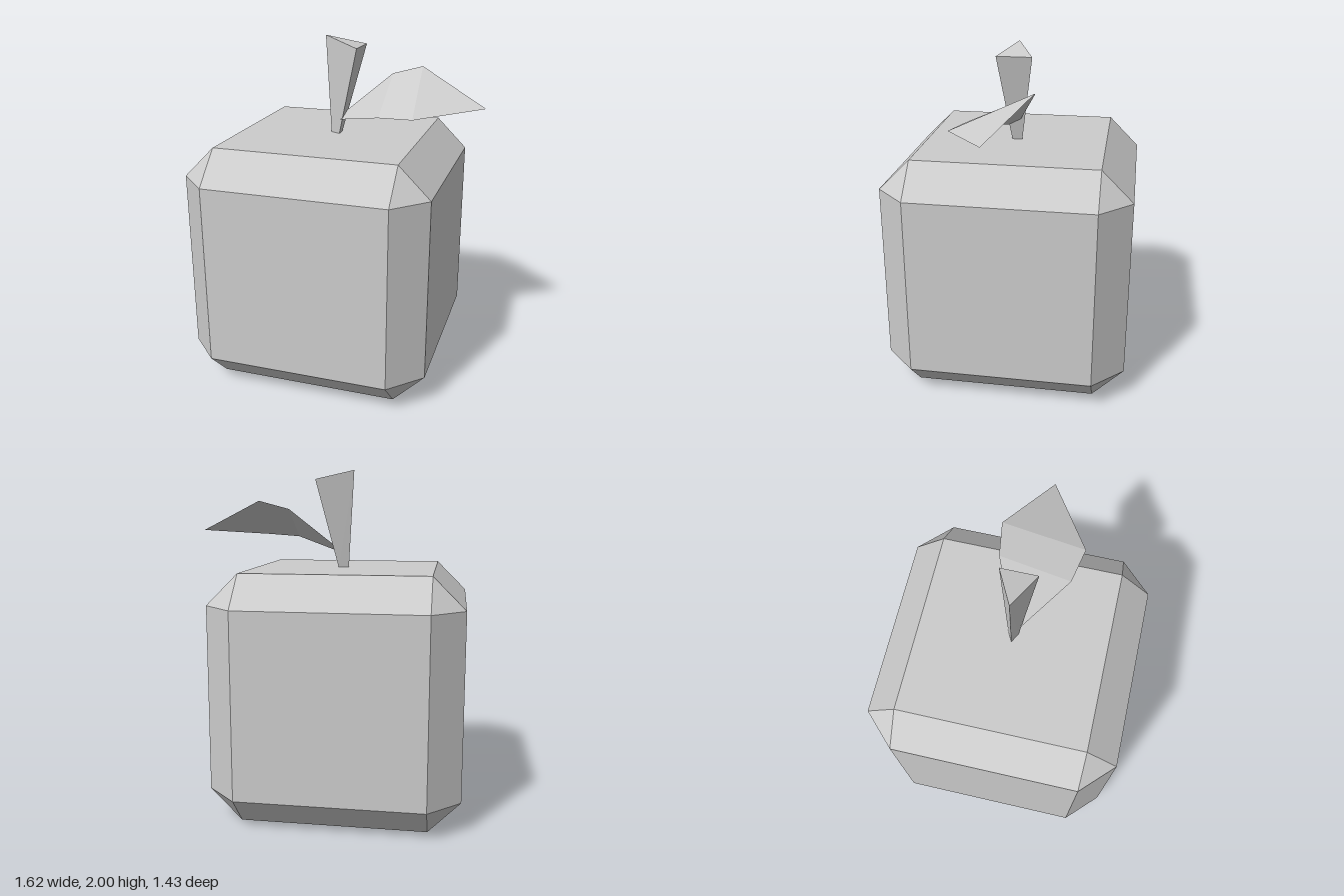
import * as THREE from 'three';
import { ConvexGeometry } from 'three/addons/geometries/ConvexGeometry.js';

const grey = new THREE.MeshStandardMaterial({ color: 0xcccccc, flatShading: true });
grey.name = 'plain grey';
const greyThin = grey.clone();
greyThin.name = 'plain grey leaf';
greyThin.side = THREE.DoubleSide;

const v = (x, y, z) => new THREE.Vector3(x, y, z);

// Cube with every edge and corner cut off
function chamferedCube(half, inner) {
  const points = [];
  for (const x of [-1, 1]) for (const y of [-1, 1]) for (const z of [-1, 1]) {
    points.push(v(x * half, y * inner, z * inner));
    points.push(v(x * inner, y * half, z * inner));
    points.push(v(x * inner, y * inner, z * half));
  }
  return new ConvexGeometry(points);
}

// Ribbon from pairs of back and front edge points
function ribbon(pairs) {
  const position = [];
  for (let i = 0; i < pairs.length - 1; i++) {
    const [a, b] = pairs[i], [c, d] = pairs[i + 1];
    position.push(...a, ...b, ...d);
    if (c !== d) position.push(...a, ...d, ...c);
  }
  const geometry = new THREE.BufferGeometry();
  geometry.setAttribute('position', new THREE.Float32BufferAttribute(position, 3));
  geometry.computeVertexNormals();
  return geometry;
}

export function createModel() {
  const group = new THREE.Group();
  group.name = 'blockyApple';
  const add = (name, geometry, material) => {
    const mesh = new THREE.Mesh(geometry, material);
    mesh.name = name;
    group.add(mesh);
    return mesh;
  };

  // Fruit body
  add('body', chamferedCube(0.714, 0.532), grey).position.set(-0.1, 0.714, 0);

  // Three-sided stem, widening to a slanted top
  add('stem', new ConvexGeometry([
    v(-0.112, 1.428, 0), v(-0.054, 1.428, 0.03), v(-0.054, 1.428, -0.03),
    v(-0.142, 2, 0), v(0.074, 1.945, 0.104), v(0.074, 1.945, -0.104),
  ]), grey);

  // Thin leaf, tilted towards the front
  const tip = [0.805, 1.642, 0.05];
  add('leaf', ribbon([
    [[-0.03, 1.555, -0.022], [-0.042, 1.518, 0.043]],
    [[0.225, 1.773, -0.142], [0.245, 1.598, 0.258]],
    [[0.398, 1.82, -0.165], [0.447, 1.61, 0.3]],
    [tip, tip],
  ]), greyThin);

  return group;
}
